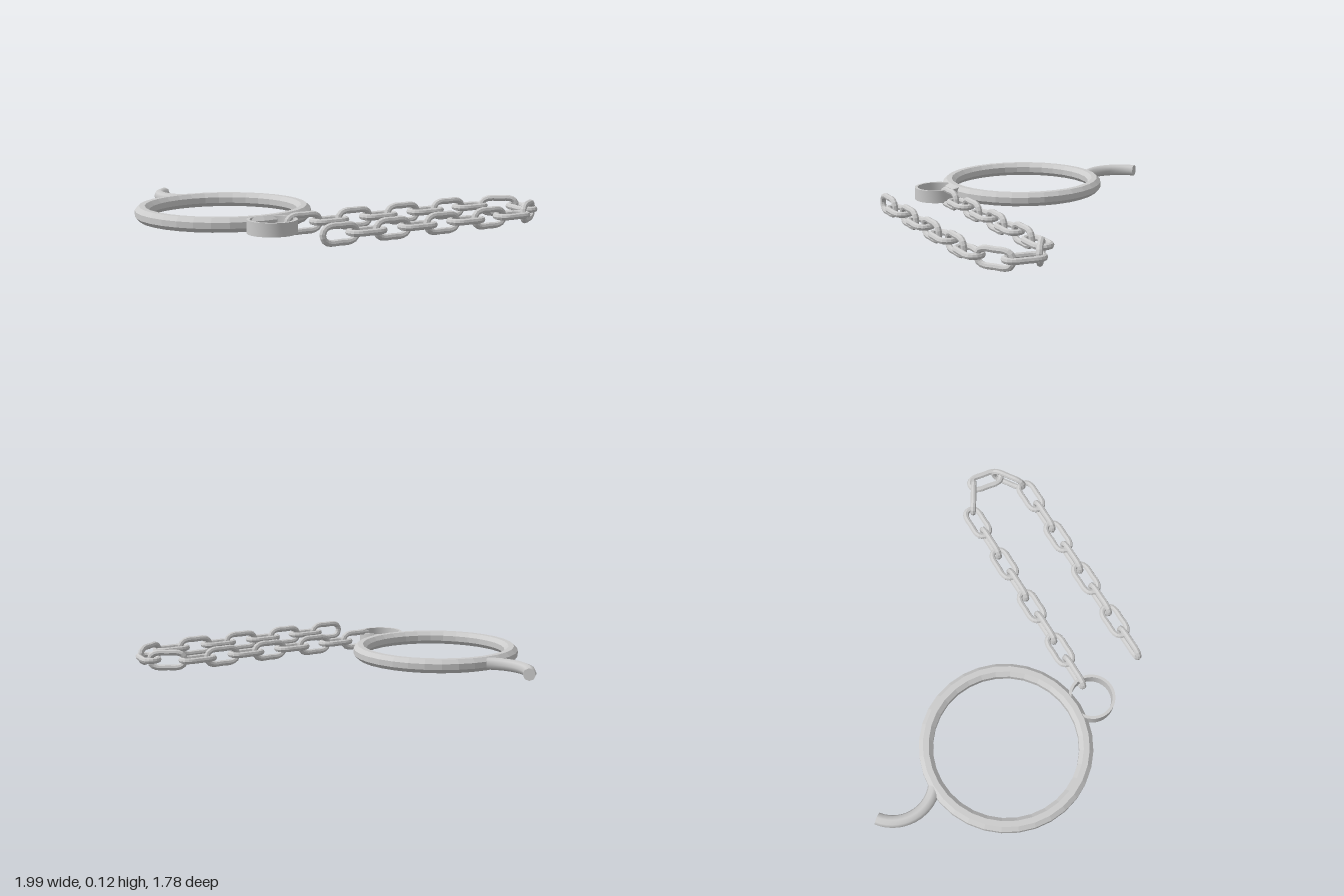
import * as THREE from 'three';
import { toCreasedNormals } from 'three/addons/utils/BufferGeometryUtils.js';

const MID = 0.06; // height of the plane everything lies in
const flat = new THREE.MeshStandardMaterial({ color: 0xcccccc, flatShading: true });
const smooth = new THREE.MeshStandardMaterial({ color: 0xcccccc });

function add(parent, name, geometry, material, x, z) {
  const mesh = new THREE.Mesh(geometry, material);
  mesh.name = name;
  mesh.position.set(x, MID, z);
  parent.add(mesh);
  return mesh;
}

// Oval wire loop, long axis along x, lying flat
function linkGeometry() {
  const half = 0.055, r = 0.041, points = [];
  for (const side of [1, -1]) {
    for (let i = 0; i <= 4; i++) {
      const a = -Math.PI / 2 + (i / 4) * Math.PI;
      points.push(new THREE.Vector3(side * (half + r * Math.cos(a)), 0, side * r * Math.sin(a)));
    }
    points.push(new THREE.Vector3(0, 0, side * r));
  }
  const curve = new THREE.CatmullRomCurve3(points, true, 'centripetal');
  return new THREE.TubeGeometry(curve, 28, 0.0165, 8, true);
}

export function createModel() {
  const model = new THREE.Group();
  model.name = 'shackleAndChain';

  // Large ring with an octagonal section
  const section = [];
  for (let i = 0; i <= 8; i++) {
    const a = ((i + 0.5) / 8) * Math.PI * 2;
    section.push(new THREE.Vector2(0.433 + 0.041 * Math.cos(a), 0.041 * Math.sin(a)));
  }
  add(model, 'cuffRing', new THREE.LatheGeometry(section, 32), flat, -0.527, -0.072);

  // Curved hook behind the ring, closed at its free end
  const R = 0.22, tube = 0.034, start = 2.25, end = 4.05;
  const hook = new THREE.Group();
  hook.name = 'hook';
  model.add(hook);
  const arc = new THREE.TorusGeometry(R, tube, 8, 14, end - start);
  arc.rotateZ(start).rotateX(Math.PI / 2);
  add(hook, 'hookArm', arc, smooth, -0.39, -0.69);
  const cap = new THREE.CircleGeometry(tube, 8);
  cap.rotateX(-Math.PI / 2).translate(R, 0, 0).rotateZ(end).rotateX(Math.PI / 2);
  add(hook, 'hookEnd', cap, flat, -0.39, -0.69);

  // Thin band joining ring and chain
  const band = [[0.112, -0.035], [0.128, -0.035], [0.128, 0.035], [0.112, 0.035], [0.112, -0.035]]
    .map(([x, y]) => new THREE.Vector2(x, y));
  add(model, 'connectorBand', toCreasedNormals(new THREE.LatheGeometry(band, 32), 0.6), smooth, -0.527, 0.473);

  // Chain: upright and flat links alternate along two rows and a bend
  const chain = new THREE.Group();
  chain.name = 'chain';
  model.add(chain);
  const geometry = linkGeometry();
  const link = (x, z, upright, turn = 0) => {
    const mesh = add(chain, upright ? 'uprightLink' : 'flatLink', geometry, flat, x, z);
    mesh.rotation.set(upright ? Math.PI / 2 : 0, turn, 0, 'YXZ');
  };
  for (const [x0, z] of [[-0.348, 0.473], [-0.355, 0.83]]) {
    for (let i = 0; i < 8; i++) link(x0 + i * 0.152, z, i % 2 === 0);
  }
  link(0.87, 0.535, true, -0.55);
  link(0.932, 0.652, false, 1.43);
  link(0.87, 0.773, true, 0.6);

  return model;
}
